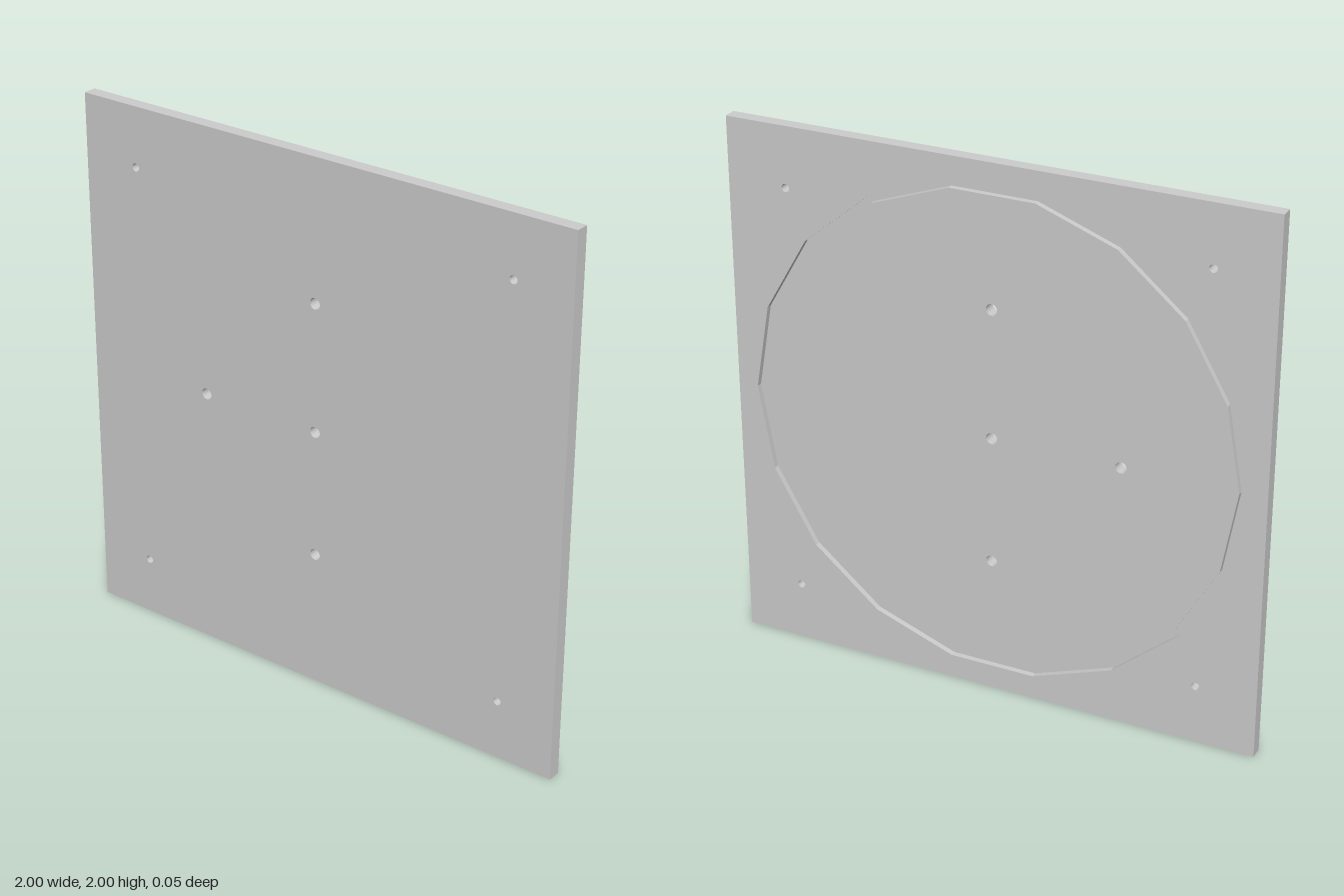
import * as THREE from 'three';
import { mergeGeometries } from 'three/addons/utils/BufferGeometryUtils.js';

const FRONT = 0.025, BACK = -0.025, FLOOR = -0.003; // z levels
const SIDES = 18;

// Regular polygon, counter-clockwise
function ring(x, y, r, n = SIDES) {
  return Array.from({ length: n }, (_, i) => {
    const a = (i / n) * Math.PI * 2;
    return new THREE.Vector2(x + r * Math.cos(a), y + r * Math.sin(a));
  });
}

// Flat face with holes, looking to +z or (back = true) to -z
function face(outline, holes, z, back) {
  const shape = new THREE.Shape(outline);
  holes.forEach((h) => shape.holes.push(new THREE.Path(h)));
  const g = new THREE.ShapeGeometry(shape).translate(0, 0, z);
  if (back) g.setIndex(Array.from(g.index.array).reverse());
  const flat = g.toNonIndexed();
  flat.deleteAttribute('uv');
  flat.computeVertexNormals();
  return flat;
}

// Wall along a closed outline, looking outward or inward
function wall(outline, z0, z1, inward) {
  const pts = inward ? [...outline].reverse() : outline;
  const v = [];
  pts.forEach((a, i) => {
    const b = pts[(i + 1) % pts.length];
    v.push(a.x, a.y, z0, b.x, b.y, z0, b.x, b.y, z1);
    v.push(a.x, a.y, z0, b.x, b.y, z1, a.x, a.y, z1);
  });
  const g = new THREE.BufferGeometry();
  g.setAttribute('position', new THREE.Float32BufferAttribute(v, 3));
  g.computeVertexNormals();
  return g;
}

export function createModel() {
  const group = new THREE.Group();
  const material = new THREE.MeshStandardMaterial({ color: 0xcccccc, flatShading: true });
  const add = (name, parts) => {
    const mesh = new THREE.Mesh(mergeGeometries(parts), material);
    mesh.name = name;
    group.add(mesh);
  };

  const square = [[-1, 0], [1, 0], [1, 2], [-1, 2]].map(([x, y]) => new THREE.Vector2(x, y));
  const grooveOuter = ring(0, 1, 0.925);
  const grooveInner = ring(0, 1, 0.9);

  const cornerHoles = [];
  for (const sx of [-1, 1]) for (const sy of [-1, 1]) {
    cornerHoles.push(ring(sx * 0.777, 1 + sy * 0.777, 0.015));
  }
  const middleHoles = [[0, 1], [0, 1.48], [0, 0.52], [-0.48, 1]].map(([x, y]) => ring(x, y, 0.021));
  const holes = [...cornerHoles, ...middleHoles];

  // Square plate; its back is split by the groove
  add('plate', [
    face(square, holes, FRONT, false),
    face(square, [...cornerHoles, grooveOuter], BACK, true),
    face(grooveInner, middleHoles, BACK, true),
    wall(square, BACK, FRONT, false),
  ]);

  // Ring groove sunk into the back
  add('backGroove', [
    face(grooveOuter, [grooveInner], FLOOR, true),
    wall(grooveOuter, BACK, FLOOR, true),
    wall(grooveInner, BACK, FLOOR, false),
  ]);

  // Bores of the through holes
  add('cornerHoles', cornerHoles.map((h) => wall(h, BACK, FRONT, true)));
  add('middleHoles', middleHoles.map((h) => wall(h, BACK, FRONT, true)));

  return group;
}
